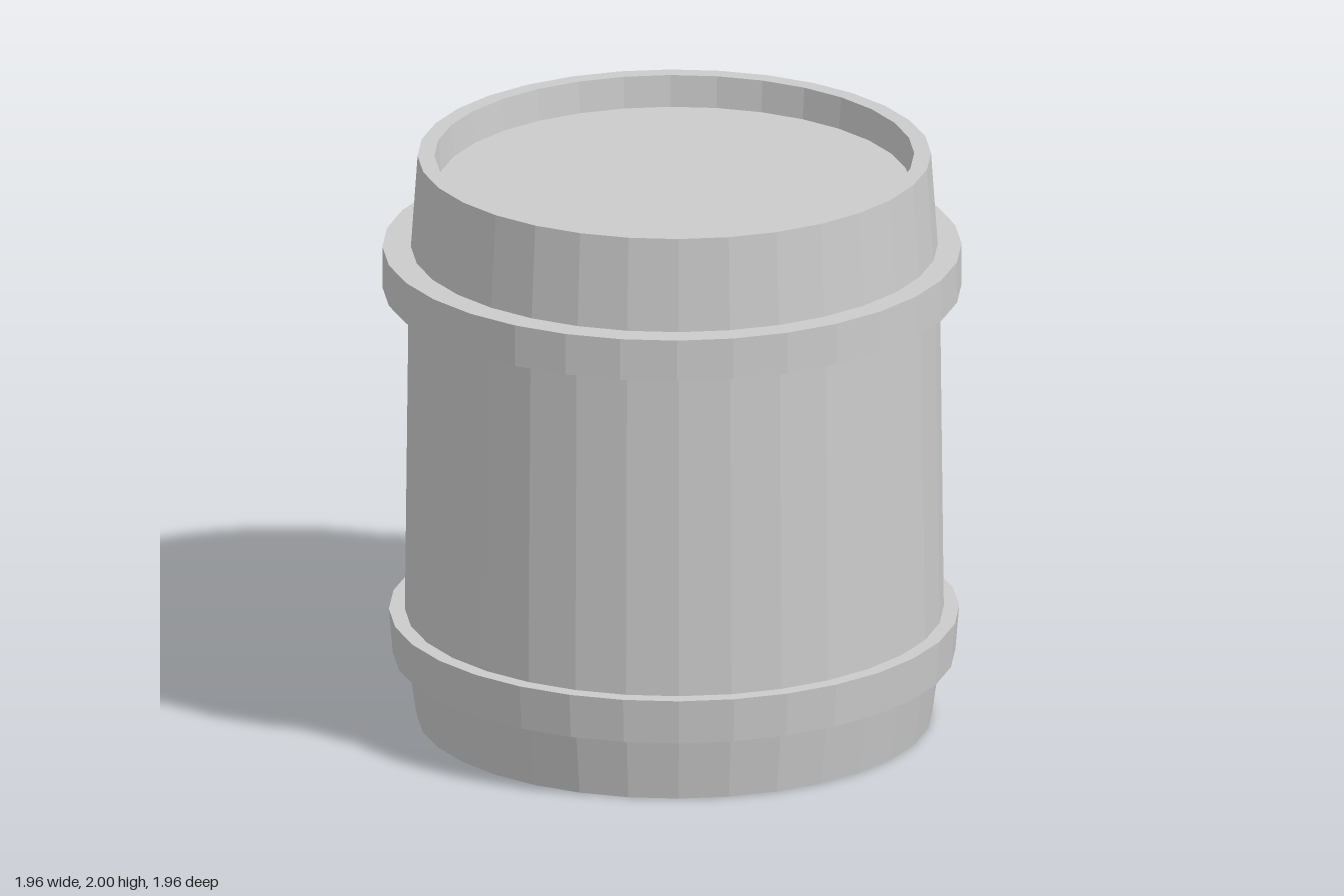
import * as THREE from 'three';

const SIDES = 32;

// Faceted solid of revolution from [radius, height] pairs, listed bottom to top
function turned(name, profile) {
  const points = profile.map(([r, y]) => new THREE.Vector2(r, y));
  const material = new THREE.MeshStandardMaterial({ color: 0xcccccc, flatShading: true });
  const mesh = new THREE.Mesh(new THREE.LatheGeometry(points, SIDES), material);
  mesh.name = name;
  return mesh;
}

// Closed band around the body
function hoop(name, inner, bottomRadius, topRadius, y0, y1) {
  return turned(name, [[inner, y0], [bottomRadius, y0], [topRadius, y1], [inner, y1], [inner, y0]]);
}

export function createModel() {
  const barrel = new THREE.Group();
  barrel.name = 'barrel';

  // Bulging body with a recessed head at each end
  const body = turned('body', [
    [0, 0.11], [0.80, 0.11], [0.81, 0],
    [0.87, 0], [0.904, 0.23], [0.91, 0.38], [0.897, 1.53], [0.89, 1.67], [0.867, 2],
    [0.81, 2], [0.80, 1.89], [0, 1.89],
  ]);
  body.position.x = 0.008;

  const lowerHoop = hoop('lowerHoop', 0.88, 0.95, 0.963, 0.225, 0.38);
  lowerHoop.position.x = 0.007;
  const upperHoop = hoop('upperHoop', 0.87, 0.978, 0.978, 1.53, 1.675);

  barrel.add(body, lowerHoop, upperHoop);
  return barrel;
}
